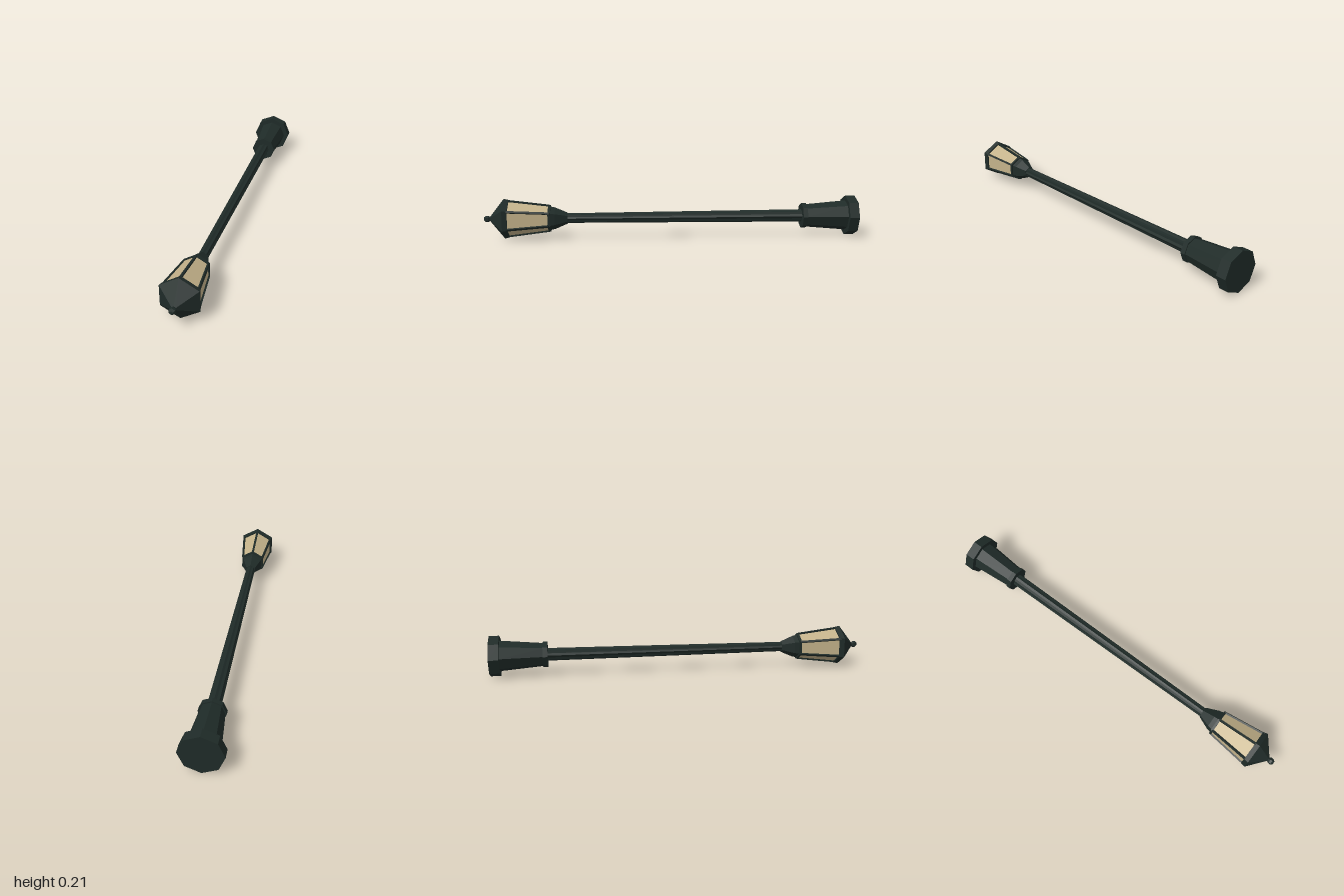
import * as THREE from 'three';

const iron = new THREE.MeshStandardMaterial({ color: 0x1f2b28, flatShading: true });
const glass = new THREE.MeshStandardMaterial({ color: 0xc4b28a, flatShading: true });

// Faceted part turned around the post axis; profile is [radius, height] from bottom to top
function turned(name, sides, profile, material = iron) {
  const points = profile.map(([r, h]) => new THREE.Vector2(r, h));
  const mesh = new THREE.Mesh(new THREE.LatheGeometry(points, sides), material);
  mesh.name = name;
  return mesh;
}

// Straight bar between two points
function bar(name, a, b, width, depth, angle) {
  const mesh = new THREE.Mesh(new THREE.BoxGeometry(width, a.distanceTo(b), depth), iron);
  const up = b.clone().sub(a).normalize();
  const side = new THREE.Vector3(Math.cos(angle), 0, -Math.sin(angle));
  const out = side.clone().cross(up);
  mesh.setRotationFromMatrix(new THREE.Matrix4().makeBasis(side, up, out));
  mesh.position.copy(a).add(b).multiplyScalar(0.5);
  mesh.name = name;
  return mesh;
}

// Tapering shaft with shallow flutes
function flutedShaft(h0, h1, r0, r1) {
  const geometry = new THREE.CylinderGeometry(1, 1, h1 - h0, 16, 1, true);
  const p = geometry.attributes.position;
  for (let i = 0; i < p.count; i++) {
    const flute = (i % 17) % 2 ? 0.86 : 1;
    const r = (p.getY(i) > 0 ? r1 : r0) * flute;
    p.setX(i, p.getX(i) * r);
    p.setZ(i, p.getZ(i) * r);
  }
  geometry.translate(0, (h0 + h1) / 2, 0);
  const mesh = new THREE.Mesh(geometry, iron);
  mesh.name = 'shaft';
  return mesh;
}

export function createModel() {
  const lamp = new THREE.Group();
  lamp.name = 'streetLamp';

  // Octagonal foot and post
  lamp.add(turned('basePlate', 8, [[0, -1], [0.107, -1], [0.107, -0.948], [0, -0.948]]));
  lamp.add(turned('pedestal', 8, [[0.081, -0.95], [0.061, -0.72]]));
  lamp.add(turned('collar', 8, [[0, -0.73], [0.068, -0.73], [0.068, -0.705], [0, -0.705]]));
  lamp.add(flutedShaft(-0.71, 0.57, 0.034, 0.026));

  // Hexagonal lantern
  const lantern = new THREE.Group();
  lantern.name = 'lantern';
  lantern.add(turned('lanternCup', 6, [[0, 0.56], [0.03, 0.56], [0.058, 0.625], [0.064, 0.65], [0, 0.65]]));
  lantern.add(turned('lowerRim', 6, [[0, 0.648], [0.072, 0.648], [0.073, 0.661], [0, 0.661]]));
  lantern.add(turned('glassPanes', 6, [[0.067, 0.658], [0.094, 0.88]], glass));
  for (let i = 0; i < 6; i++) {
    const angle = (i * Math.PI) / 3;
    const at = (r, h) => new THREE.Vector3(Math.sin(angle) * r, h, Math.cos(angle) * r);
    lantern.add(bar('cornerPost', at(0.067, 0.655), at(0.095, 0.88), 0.011, 0.011, angle));
  }
  lantern.add(turned('roof', 6, [[0, 0.868], [0.101, 0.868], [0.107, 0.893], [0.012, 0.967], [0, 0.967]]));
  lantern.add(turned('finial', 6, [[0, 0.964], [0.01, 0.966], [0.017, 0.977], [0.017, 0.989], [0.009, 0.999], [0, 1]]));
  lamp.add(lantern);

  // Lay the lamp down with the lantern towards the front
  lamp.rotation.x = Math.PI / 2;
  lamp.position.y = 0.107;
  const model = new THREE.Group();
  model.add(lamp);
  return model;
}
